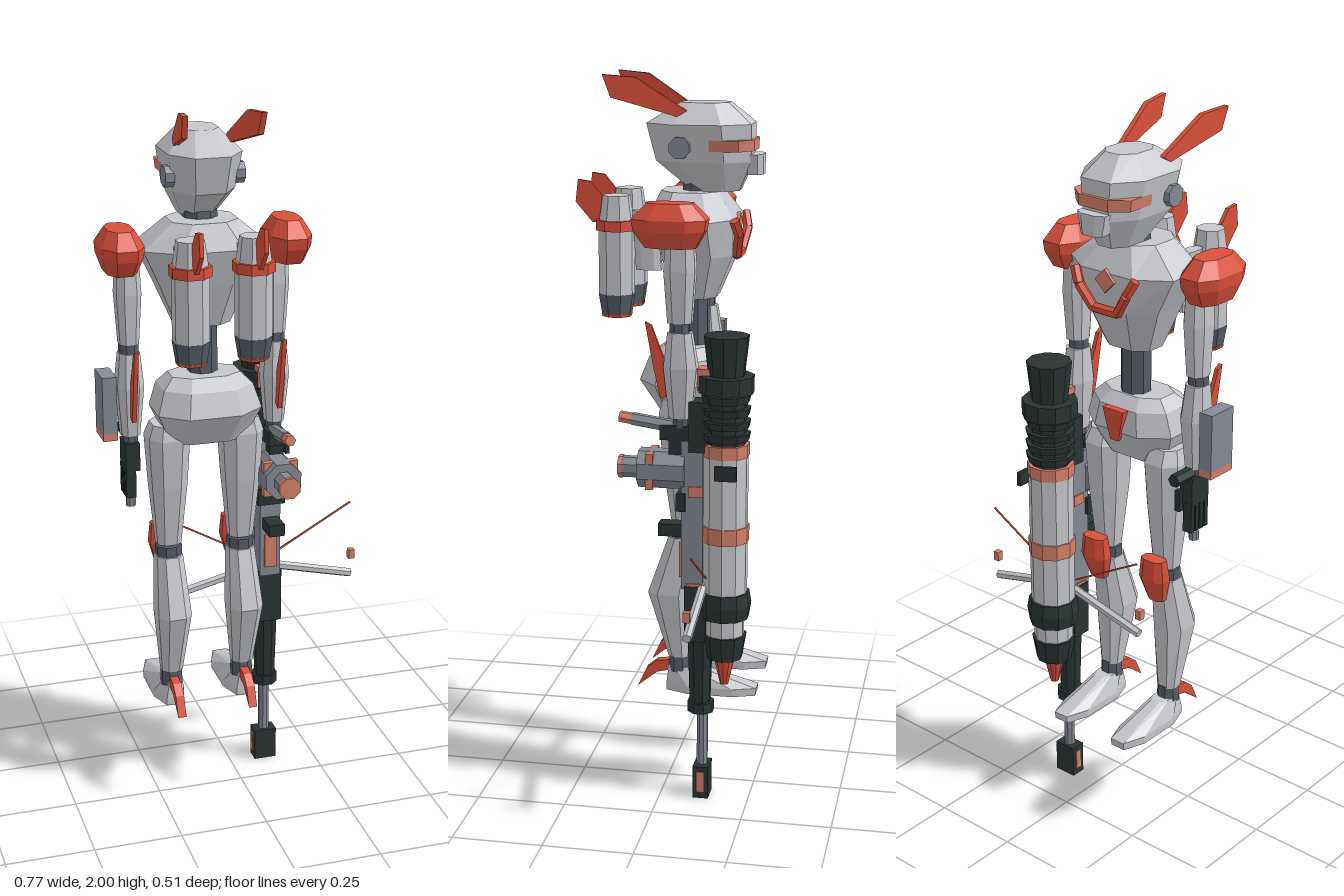
import * as THREE from 'three';

const mat = (name, color) => Object.assign(new THREE.MeshStandardMaterial({ color }), { name });

export function createModel() {
  const M = {
    grey: mat('pale grey armour', 0xc6c7cc), slate: mat('slate joints', 0x565c68),
    mid: mat('mid grey panels', 0x858a94), dark: mat('near black metal', 0x2a3433),
    red: mat('red plates', 0xdb4f3a), salmon: mat('salmon trim', 0xd5806a),
  };
  const root = new THREE.Group();
  root.name = 'robotWithLauncher';

  const add = (parent, name, geo, m, x = 0, y = 0, z = 0) => {
    const g = geo.index ? geo.toNonIndexed() : geo;
    g.computeVertexNormals();
    const mesh = new THREE.Mesh(g, m);
    mesh.name = name;
    mesh.position.set(x, y, z);
    parent.add(mesh);
    return mesh;
  };
  const box = (p, n, m, w, h, d, x, y, z) => add(p, n, new THREE.BoxGeometry(w, h, d), m, x, y, z);
  const cyl = (p, n, m, rt, rb, h, x, y, z, sides = 8) =>
    add(p, n, new THREE.CylinderGeometry(rt, rb, h, sides).rotateY(Math.PI / sides), m, x, y, z);

  // Eight-sided hull through sections [y, halfWidth, zMin, zMax, cut], lowest first
  const hull = (p, n, m, sections, x = 0, cut = 0.5) => {
    const rings = sections.map(([y, hx, z0, z1, k = cut]) => {
      const c = (z0 + z1) / 2, h = (z1 - z0) / 2;
      return [[1, k], [1, -k], [k, -1], [-k, -1], [-1, -k], [-1, k], [-k, 1], [k, 1]]
        .map(([a, b]) => [a * hx, y, c + b * h]);
    });
    const v = [];
    const tri = (...pts) => pts.forEach((q) => v.push(...q));
    for (let i = 0; i + 1 < rings.length; i++) {
      for (let j = 0; j < 8; j++) {
        const k = (j + 1) % 8, A = rings[i], B = rings[i + 1];
        tri(A[j], A[k], B[k]);
        tri(A[j], B[k], B[j]);
      }
    }
    const lo = rings[0], hi = rings[rings.length - 1];
    for (let j = 1; j < 7; j++) {
      tri(hi[0], hi[j], hi[j + 1]);
      tri(lo[0], lo[j + 1], lo[j]);
    }
    const g = new THREE.BufferGeometry();
    g.setAttribute('position', new THREE.Float32BufferAttribute(v, 3));
    return add(p, n, g, m, x);
  };

  // Flat plate drawn in z and y, with thickness along x and an optional sideways lean
  const blade = (p, n, m, pts, t, x, lean = 0) => {
    const g = new THREE.ExtrudeGeometry(new THREE.Shape(pts.map((q) => new THREE.Vector2(...q))), { depth: t, bevelEnabled: false });
    g.translate(0, 0, -t / 2).rotateY(-Math.PI / 2);
    const a = g.attributes.position;
    for (let i = 0; i < a.count; i++) a.setX(i, a.getX(i) + lean * a.getZ(i));
    return add(p, n, g, m, x);
  };

  const rod = (p, n, m, a, b, r, sides = 6) => {
    const A = new THREE.Vector3(...a), B = new THREE.Vector3(...b);
    const mesh = cyl(p, n, m, r, r, A.distanceTo(B), 0, 0, 0, sides);
    mesh.position.copy(A).lerp(B, 0.5);
    mesh.quaternion.setFromUnitVectors(new THREE.Vector3(0, 1, 0), B.sub(A).normalize());
    return mesh;
  };

  // Robot, facing -z
  const bot = new THREE.Group();
  bot.name = 'robot';
  bot.position.x = -0.095;
  root.add(bot);

  // Head
  hull(bot, 'head', M.grey, [[1.69, 0.045, -0.18, -0.05], [1.77, 0.085, -0.215, 0.045],
    [1.87, 0.1, -0.215, 0.07], [1.925, 0.05, -0.15, -0.02]], 0, 0.48);
  hull(bot, 'muzzle', M.grey, [[1.735, 0.035, -0.245, -0.19], [1.79, 0.046, -0.245, -0.19]]);
  hull(bot, 'visor', M.salmon, [[1.8, 0.09, -0.224, -0.07], [1.83, 0.094, -0.224, -0.07]], 0, 0.52);
  cyl(bot, 'neck', M.slate, 0.045, 0.055, 0.1, 0, 1.68, -0.07);

  // Torso, waist and pelvis
  hull(bot, 'torso', M.grey, [[1.4, 0.075, -0.12, -0.01], [1.52, 0.125, -0.17, 0.03],
    [1.62, 0.172, -0.175, 0.06], [1.69, 0.09, -0.13, 0.03]]);
  cyl(bot, 'waist', M.slate, 0.042, 0.042, 0.2, 0, 1.34, -0.055);
  hull(bot, 'pelvis', M.grey, [[1.08, 0.105, -0.09, 0.03], [1.17, 0.145, -0.14, 0.085],
    [1.235, 0.125, -0.13, 0.06], [1.265, 0.095, -0.1, 0.02]]);
  const crest = new THREE.CylinderGeometry(0.05, 0.02, 0.09, 4).rotateY(Math.PI / 4).scale(1, 1, 0.3);
  add(bot, 'pelvisPlate', crest, M.red, 0, 1.19, -0.14);
  const gem = box(bot, 'chestDiamond', M.salmon, 0.045, 0.045, 0.01, 0, 1.6, -0.177);
  gem.rotation.z = Math.PI / 4;
  rod(bot, 'collarMiddle', M.red, [-0.04, 1.52, -0.178], [0.04, 1.52, -0.178], 0.014);

  for (const s of [-1, 1]) {
    const side = new THREE.Group();
    side.name = s > 0 ? 'leftSideParts' : 'rightSideParts';
    bot.add(side);

    // Ears and collar pipe
    cyl(side, 'earDisc', M.mid, 0.03, 0.03, 0.025, s * 0.096, 1.81, -0.03).rotation.z = Math.PI / 2;
    blade(side, 'earBlade', M.red, [[-0.045, 1.905], [-0.02, 1.89], [0.155, 1.94], [0.177, 2], [0.09, 1.993]], 0.015, s * 0.078, s * 0.14);
    rod(side, 'collarPipe', M.red, [s * 0.04, 1.52, -0.178], [s * 0.08, 1.58, -0.19], 0.014);
    rod(side, 'collarEnd', M.red, [s * 0.08, 1.58, -0.19], [s * 0.1, 1.62, -0.18], 0.014);

    // Back thruster
    const jx = s * 0.085, jz = 0.145;
    cyl(side, 'thrusterBody', M.grey, 0.05, 0.05, 0.18, jx, 1.5, jz);
    cyl(side, 'thrusterCap', M.grey, 0.038, 0.048, 0.07, jx, 1.645, jz);
    cyl(side, 'thrusterRing', M.red, 0.057, 0.057, 0.028, jx, 1.6, jz);
    cyl(side, 'thrusterNozzle', M.slate, 0.051, 0.042, 0.055, jx, 1.385, jz);
    cyl(side, 'nozzleLip', M.red, 0.043, 0.041, 0.008, jx, 1.354, jz);
    blade(side, 'thrusterFin', M.red, [[0.17, 1.61], [0.21, 1.605], [0.257, 1.66], [0.25, 1.72], [0.215, 1.715], [0.17, 1.66]], 0.011, jx);
    hull(side, 'thrusterMount', M.grey, [[1.48, 0.018, 0.02, 0.09], [1.64, 0.018, 0.03, 0.1]], jx);

    // Shoulder and arm
    hull(side, 'shoulder', M.red, [[1.565, 0.04, -0.1, 0.035], [1.61, 0.055, -0.125, 0.065],
      [1.64, 0.057, -0.13, 0.07], [1.682, 0.034, -0.09, 0.03]], s * 0.23);
    const ax = s * 0.206;
    hull(side, 'upperArm', M.grey, [[1.36, 0.026, -0.085, -0.02], [1.5, 0.034, -0.095, -0.01], [1.59, 0.03, -0.09, -0.015]], ax);
    cyl(side, 'elbow', M.slate, 0.028, 0.028, 0.03, ax, 1.348, -0.052);
    hull(side, 'forearm', M.grey, [[1.1, 0.025, -0.085, -0.025], [1.24, 0.037, -0.1, -0.01], [1.335, 0.028, -0.085, -0.02]], ax);
    blade(side, 'elbowBlade', M.red, [[-0.02, 1.16], [0.0, 1.15], [0.02, 1.24], [0.042, 1.36], [0.025, 1.35], [-0.01, 1.26]], 0.012, ax);
    cyl(side, 'wrist', M.slate, 0.022, 0.022, 0.03, ax, 1.09, -0.055);
    box(side, 'palm', M.dark, 0.04, 0.08, 0.07, ax, 1.04, -0.06);
    for (let i = 0; i < 4; i++) box(side, 'finger', M.dark, 0.028, 0.085, 0.014, ax + s * 0.006, 0.965, -0.09 + i * 0.019);
    box(side, 'thumb', M.dark, 0.016, 0.06, 0.016, ax - s * 0.02, 1.01, -0.1);

    // Leg
    const lx = s * 0.105;
    hull(side, 'thigh', M.grey, [[0.77, 0.034, -0.08, -0.015], [0.95, 0.05, -0.1, 0.01],
      [1.09, 0.058, -0.11, 0.02], [1.13, 0.045, -0.09, 0.01]], lx);
    cyl(side, 'kneeJoint', M.slate, 0.038, 0.038, 0.03, lx, 0.75, -0.045);
    hull(side, 'kneePlate', M.red, [[0.68, 0.025, -0.105, -0.07], [0.75, 0.042, -0.13, -0.07], [0.81, 0.036, -0.125, -0.08]], lx);
    hull(side, 'shin', M.grey, [[0.38, 0.03, -0.06, -0.005], [0.57, 0.048, -0.07, 0.052], [0.735, 0.037, -0.09, -0.005]], lx);
    cyl(side, 'ankle', M.slate, 0.03, 0.033, 0.05, lx, 0.36, -0.035);
    hull(side, 'footSole', M.grey, [[0.278, 0.045, -0.255, 0.0], [0.3, 0.045, -0.258, 0.0]], lx);
    hull(side, 'footTop', M.grey, [[0.3, 0.045, -0.255, 0.0], [0.35, 0.026, -0.09, -0.005]], lx);
    blade(side, 'heelSpur', M.red, [[-0.01, 0.365], [-0.01, 0.335], [0.03, 0.325], [0.085, 0.28], [0.06, 0.335], [0.03, 0.36]], 0.024, lx);
  }

  // Panel on the far forearm
  box(bot, 'forearmPanel', M.mid, 0.04, 0.16, 0.09, -0.27, 1.2, -0.055);
  box(bot, 'forearmPanelTrim', M.salmon, 0.04, 0.02, 0.09, -0.27, 1.11, -0.055);
  rod(bot, 'forearmNozzle', M.dark, [-0.207, 1.09, -0.08], [-0.207, 1.09, -0.15], 0.018);
  cyl(bot, 'fingertipBall', M.mid, 0.014, 0.014, 0.025, -0.207, 0.9, -0.06);

  // Launcher tube: [colour, yBottom, yTop, radiusBottom, radiusTop]
  const gun = new THREE.Group();
  gun.name = 'launcher';
  gun.position.x = 0.105;
  root.add(gun);
  const tube = [
    ['red', 0.34, 0.42, 0.012, 0.03], ['dark', 0.42, 0.49, 0.05, 0.062], ['grey', 0.49, 0.54, 0.055, 0.055],
    ['dark', 0.54, 0.58, 0.068, 0.074], ['dark', 0.58, 0.615, 0.074, 0.068], ['grey', 0.615, 0.76, 0.062, 0.062],
    ['salmon', 0.76, 0.805, 0.066, 0.066], ['grey', 0.805, 1.0, 0.062, 0.062], ['salmon', 1.0, 1.035, 0.065, 0.065],
    ['dark', 1.035, 1.18, 0.055, 0.055], ['dark', 1.175, 1.222, 0.076, 0.076], ['dark', 1.222, 1.33, 0.05, 0.062],
  ];
  for (const [c, y0, y1, r0, r1] of tube) cyl(gun, 'launcherSection', M[c], r1, r0, y1 - y0, 0, (y0 + y1) / 2, -0.178, 10);
  for (let i = 0; i < 4; i++) cyl(gun, 'launcherRib', M.dark, 0.068, 0.064, 0.02, 0, 1.055 + i * 0.035, -0.178, 10);
  box(gun, 'launcherSight', M.dark, 0.012, 0.04, 0.06, 0.083, 0.97, -0.19);

  // Rifle body and barrel
  box(gun, 'muzzle', M.dark, 0.066, 0.095, 0.044, 0, 0.0475, -0.117);
  for (const s of [-1, 1]) box(gun, 'muzzleSlot', M.salmon, 0.004, 0.06, 0.02, s * 0.034, 0.05, -0.117);
  cyl(gun, 'barrel', M.mid, 0.016, 0.016, 0.24, 0, 0.2, -0.117);
  cyl(gun, 'barrelRing', M.dark, 0.038, 0.038, 0.03, 0, 0.27, -0.112);
  cyl(gun, 'barrelSleeve', M.dark, 0.036, 0.03, 0.2, 0, 0.385, -0.11);
  box(gun, 'foreGuard', M.dark, 0.075, 0.16, 0.06, 0, 0.55, -0.1);
  box(gun, 'receiver', M.mid, 0.06, 0.42, 0.06, 0, 0.83, -0.09);
  box(gun, 'upperFrame', M.dark, 0.065, 0.14, 0.06, 0, 1.08, -0.11);
  box(gun, 'topBlock', M.salmon, 0.05, 0.06, 0.045, 0, 1.21, -0.125);
  box(gun, 'trimPanel', M.salmon, 0.035, 0.1, 0.008, 0, 0.7, -0.056);
  box(gun, 'sidePanel', M.salmon, 0.068, 0.03, 0.04, 0, 0.9, -0.1);
  box(gun, 'sidePanel', M.salmon, 0.068, 0.015, 0.05, 0, 0.63, -0.1);
  box(gun, 'lowerGrip', M.dark, 0.045, 0.035, 0.08, 0, 0.785, -0.035);
  box(gun, 'frameRail', M.dark, 0.08, 0.05, 0.025, 0, 0.87, -0.06);
  // Scope and handle reaching backwards
  rod(gun, 'scopeBody', M.mid, [0, 0.955, -0.07], [0, 0.955, 0.06], 0.055, 8);
  rod(gun, 'scopeEnd', M.mid, [0, 0.955, 0.06], [0, 0.955, 0.105], 0.03, 8);
  rod(gun, 'scopeLens', M.salmon, [0, 0.955, 0.105], [0, 0.955, 0.117], 0.032, 8);
  box(gun, 'scopeStrap', M.salmon, 0.1, 0.1, 0.02, 0, 0.955, 0.025);
  rod(gun, 'handle', M.mid, [0, 1.07, -0.06], [0, 1.09, 0.08], 0.018);
  rod(gun, 'handleCap', M.salmon, [0, 1.085, 0.05], [0, 1.095, 0.115], 0.016);
  box(gun, 'handleClamp', M.dark, 0.05, 0.04, 0.06, 0, 1.06, -0.03);

  // Side stabilisers
  for (const s of [-1, 1]) {
    rod(gun, 'stabiliserArm', M.grey, [s * 0.01, 0.63, -0.12], [s * 0.268, 0.568, -0.12], 0.013);
    rod(gun, 'stabiliserWire', M.red, [s * 0.02, 0.65, -0.13], [s * 0.268, 0.79, -0.13], 0.003, 4);
    box(gun, 'stabiliserTip', M.salmon, 0.018, 0.028, 0.018, s * 0.27, 0.63, -0.12);
  }
  return root;
}
